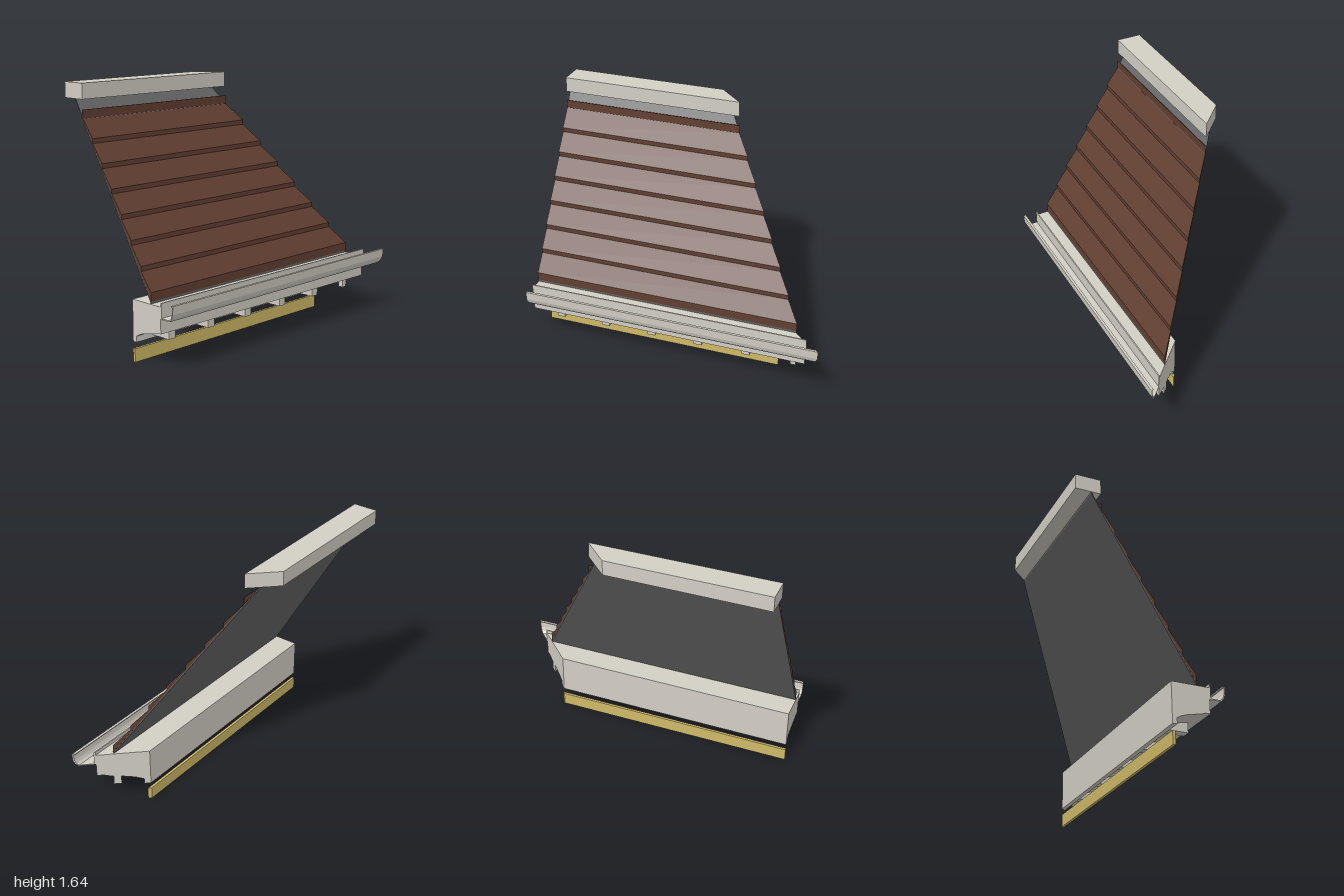
import * as THREE from 'three';

const LEFT_END = -1;
const MITRE = 0.528; // the mitred corner lies on the plane x = z + MITRE

const mat = (name, color) => {
  const m = new THREE.MeshStandardMaterial({ color });
  m.name = name;
  return m;
};

// Run a [z, y] profile along x from a square end to the mitred corner
// (or to a square end at x1 when one is given).
function run(name, profile, material, x0 = LEFT_END, x1 = null) {
  const shape = new THREE.Shape(profile.map(([z, y]) => new THREE.Vector2(-z, y)));
  const geo = new THREE.ExtrudeGeometry(shape, { depth: 1, bevelEnabled: false });
  geo.rotateY(Math.PI / 2);
  const p = geo.attributes.position;
  for (let i = 0; i < p.count; i++) {
    const atCorner = p.getX(i) > 0.5;
    p.setX(i, atCorner ? (x1 ?? p.getZ(i) + MITRE) : x0);
  }
  geo.computeVertexNormals();
  const mesh = new THREE.Mesh(geo, material);
  mesh.name = name;
  return mesh;
}

const rect = (z0, z1, y0, y1) => [[z0, y0], [z1, y0], [z1, y1], [z0, y1]];

export function createModel() {
  const stone = mat('pale stone', 0xd3cfc5);
  const tile = mat('brown tile', 0x623f32);
  const slate = mat('grey decking', 0x686868);
  const gold = mat('yellow trim', 0xcfb968);

  const model = new THREE.Group();
  model.name = 'mansardRoof';

  // Frieze board below the cornice
  model.add(run('friezeBoard', rect(0.118, 0.136, 0, 0.085), gold));

  // Cornice with a curved soffit
  model.add(run('cornice', [
    [0.12, 0.128], [0.15, 0.128], [0.15, 0.166], [0.18, 0.183], [0.22, 0.197],
    [0.27, 0.207], [0.31, 0.215], [0.335, 0.225], [0.366, 0.225], [0.366, 0.39], [0.12, 0.39],
  ], stone));

  // Brackets under the cornice, the last one cut by the mitre
  const brackets = new THREE.Group();
  brackets.name = 'brackets';
  const halfWidth = 0.0275;
  for (let i = 0; i < 5; i++) {
    const x = -0.84 + i * 0.33;
    brackets.add(run('bracket', rect(0.148, 0.29, 0.145, 0.212), stone, x - halfWidth, x + halfWidth));
  }
  const cornerX = 0.81 - halfWidth;
  brackets.add(run('cornerBracket', rect(cornerX - MITRE, 0.29, 0.145, 0.22), stone, cornerX));
  model.add(brackets);

  // Open gutter with a rolled front lip
  model.add(run('gutter', [
    [0.366, 0.316], [0.444, 0.316], [0.46, 0.334], [0.469, 0.36], [0.472, 0.414],
    [0.455, 0.414], [0.455, 0.407], [0.465, 0.407], [0.462, 0.362], [0.454, 0.338],
    [0.441, 0.323], [0.374, 0.323], [0.374, 0.414], [0.366, 0.414],
  ], stone));

  // Sloping deck behind the tiles
  model.add(run('roofDeck', [
    [0.284, 0.392], [0.284, 0.405], [-0.372, 1.548], [-0.372, 1.535],
  ].reverse(), slate));

  // Overlapping tile courses: each face ends under the riser of the next
  const courses = 7, dz = 0.0843, dy = 0.143, riser = 0.03;
  const teeth = [[0.285, 0.405], [0.285, 0.46]];
  for (let i = 1; i <= courses; i++) {
    const z = 0.285 - i * dz, y = 0.46 + i * dy;
    teeth.push([z, y - riser], [z, i === courses ? 1.485 : y]);
  }
  teeth.push([-0.309, 1.485], [-0.309, 1.432]);
  model.add(run('tileCourses', teeth, tile));

  // Ridge cap
  model.add(run('ridgeCap', rect(-0.475, -0.31, 1.547, 1.645), stone));

  return model;
}
